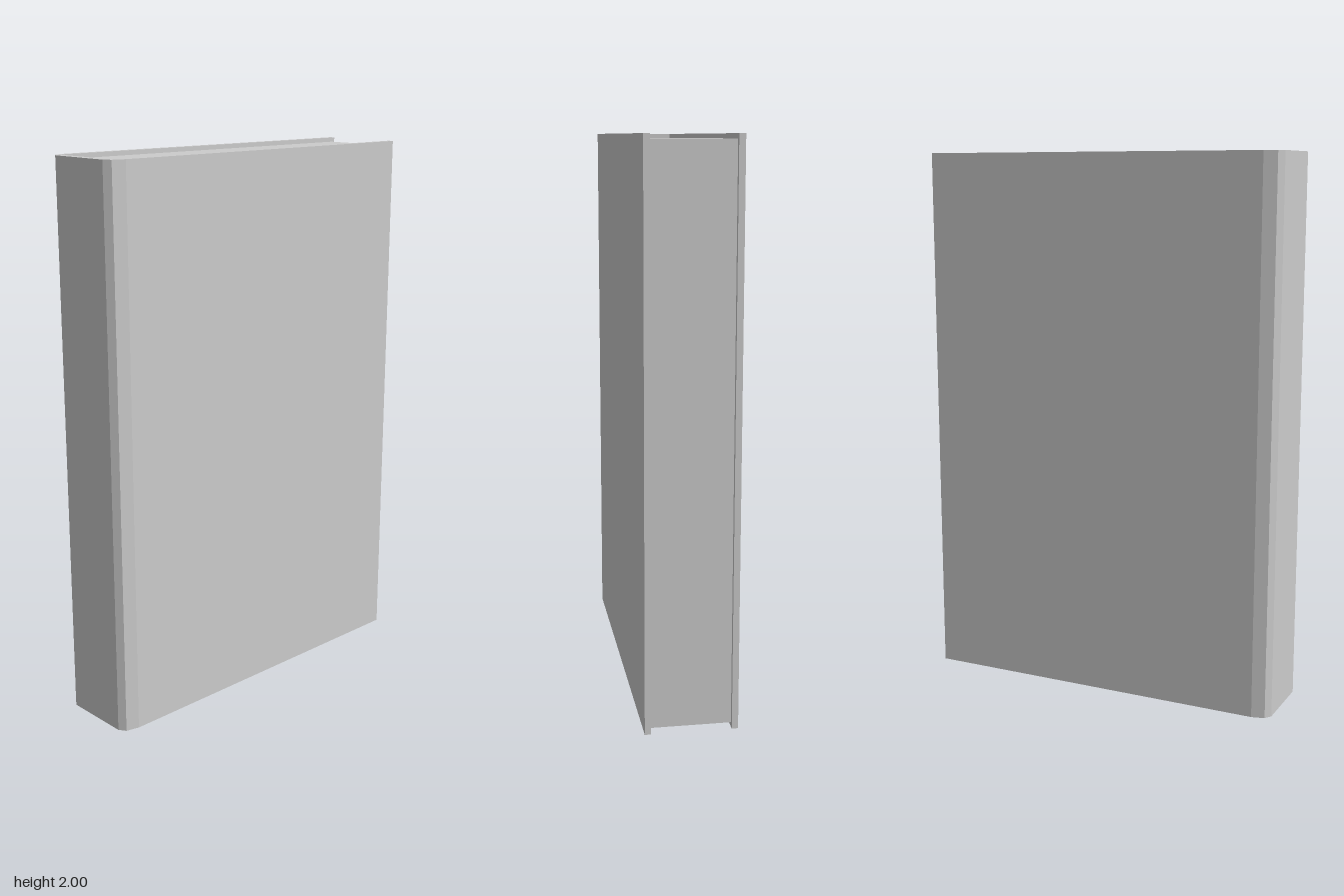
import * as THREE from 'three';

const HEIGHT = 2;
const INSET = 0.016; // how far the pages sit back from the cover edges
const BACK = -0.686;

export function createModel() {
  const book = new THREE.Group();
  book.name = 'book';
  const material = new THREE.MeshStandardMaterial({ color: 0xcccccc, flatShading: true });

  // Cover: U-shaped plan [x, z] with a bevelled spine, outer then inner half
  const outer = [[0.162, BACK], [0.162, 0.62], [0.15, 0.667], [0.125, 0.684]];
  const inner = [[0.14, 0.655], [0.14, BACK]];
  const mirror = (points) => points.map(([x, z]) => [-x, z]).reverse();
  const plan = [...outer, ...mirror(outer), ...mirror(inner), ...inner];
  const shape = new THREE.Shape(plan.map(([x, z]) => new THREE.Vector2(x, -z)));
  const coverGeometry = new THREE.ExtrudeGeometry(shape, { depth: HEIGHT, bevelEnabled: false });
  coverGeometry.rotateX(-Math.PI / 2);
  const cover = new THREE.Mesh(coverGeometry, material);
  cover.name = 'cover';
  book.add(cover);

  // Page block: fills the cover, slightly recessed at top, bottom and back
  const pagesBack = BACK + INSET;
  const depth = 0.655 - pagesBack;
  const pages = new THREE.Mesh(new THREE.BoxGeometry(0.28, HEIGHT - 2 * INSET, depth), material);
  pages.position.set(0, HEIGHT / 2, pagesBack + depth / 2);
  pages.name = 'pages';
  book.add(pages);

  return book;
}
